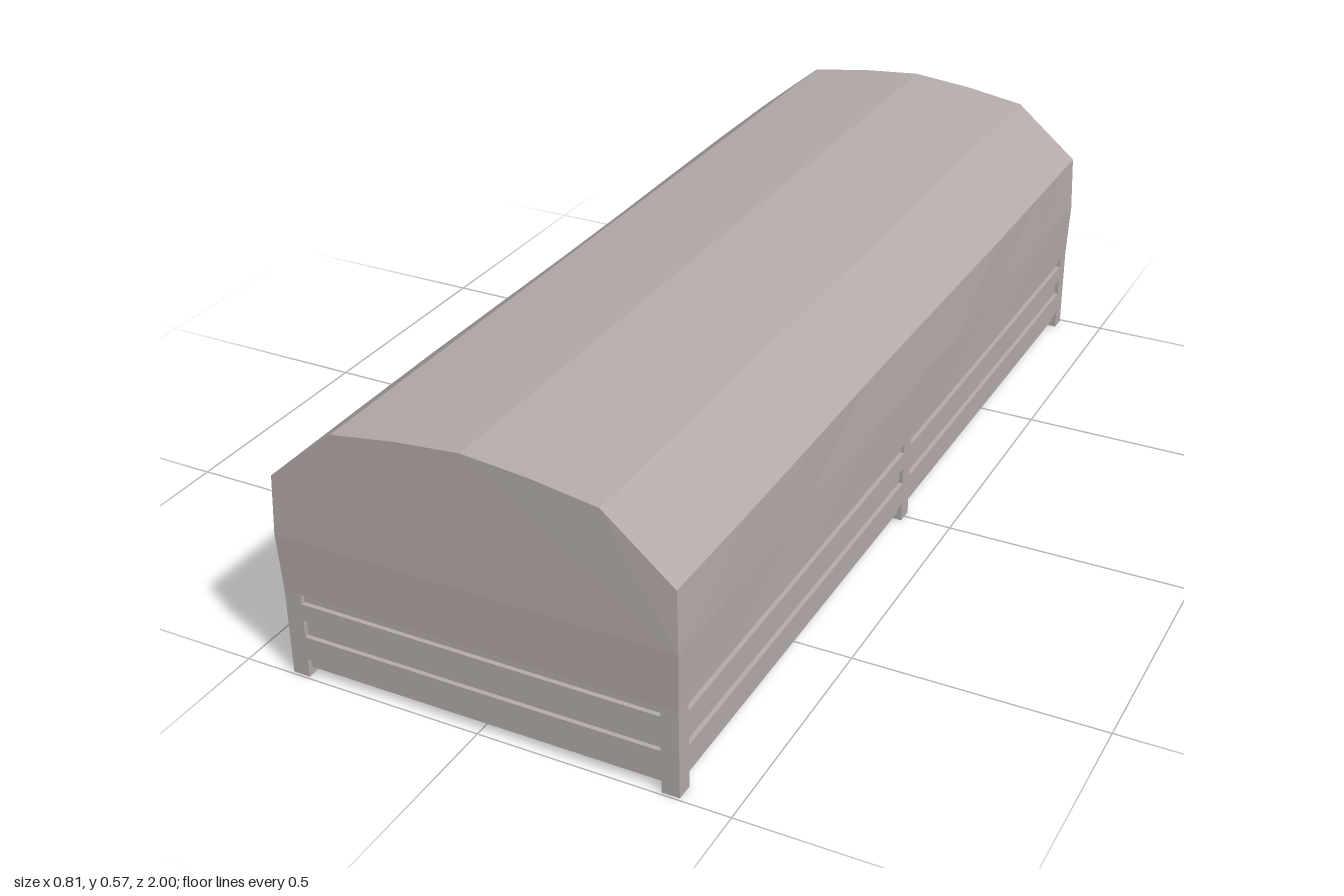
import * as THREE from 'three';

const W = 0.4;     // half width
const L = 0.995;   // half length
const P = 0.035;   // post size
const INSET = 0.009; // depth of the gaps between the boards

export function createModel() {
  const group = new THREE.Group();
  group.name = 'coveredCargoBed';
  const material = new THREE.MeshStandardMaterial({ color: 0xb3aaa8, flatShading: true });

  const add = (name, geometry, x = 0, y = 0, z = 0) => {
    const mesh = new THREE.Mesh(geometry, material);
    mesh.name = name;
    mesh.position.set(x, y, z);
    group.add(mesh);
  };
  const box = (name, w, h, d, x, y, z) =>
    add(name, new THREE.BoxGeometry(w, h, d), x, y + h / 2, z);

  // Canvas cover: faceted arch drawn along the bed, with slightly slack cloth
  const half = [[W, 0.18], [W, 0.3], [W, 0.422], [0.262, 0.538], [0.13, 0.558]];
  const profile = [...half, [0, 0.57], ...half.map(([x, y]) => [-x, y]).reverse()];
  const shape = new THREE.Shape(profile.map(([x, y]) => new THREE.Vector2(x, y)));
  const cover = new THREE.ExtrudeGeometry(shape, { depth: 2 * L, steps: 8, bevelEnabled: false });
  cover.translate(0, 0, -L);
  const pos = cover.attributes.position;
  for (let i = 0; i < pos.count; i++) {
    const x = pos.getX(i), y = pos.getY(i), z = pos.getZ(i);
    if (Math.abs(y - 0.3) < 0.01) {
      pos.setX(i, x + Math.sign(x) * 0.004 * Math.abs(Math.cos(z * 3)));
      if (Math.abs(z) > L - 0.01) pos.setZ(i, z + Math.sign(z) * 0.005);
    } else if (Math.abs(y - 0.422) < 0.01) {
      pos.setY(i, y + 0.002 * Math.sin(z * 5 + Math.sign(x)));
    }
  }
  cover.computeVertexNormals();
  add('canvasCover', cover);

  // Inner bed, seen in the gaps between the boards
  box('bed', 2 * (W - INSET), 0.165, 2 * (L - INSET), 0, 0.017, 0);

  // Posts at the corners and halfway along each side
  for (const s of [-1, 1]) {
    for (const z of [-(L - P / 2), 0, L - P / 2]) {
      box('post', P, 0.181, P, s * (W - P / 2), 0, z);
    }
  }

  // Boards between the posts: [bottom, height]
  const span = L - 1.5 * P;
  for (const [y, h] of [[0.04, 0.048], [0.125, 0.035]]) {
    for (const s of [-1, 1]) {
      box('endBoard', 2 * (W - P), h, 0.02, 0, y, s * (L - 0.01));
      for (const e of [-1, 1]) {
        box('sideBoard', 0.02, h, span, s * (W - 0.01), y, e * (P / 2 + span / 2));
      }
    }
  }
  return group;
}
